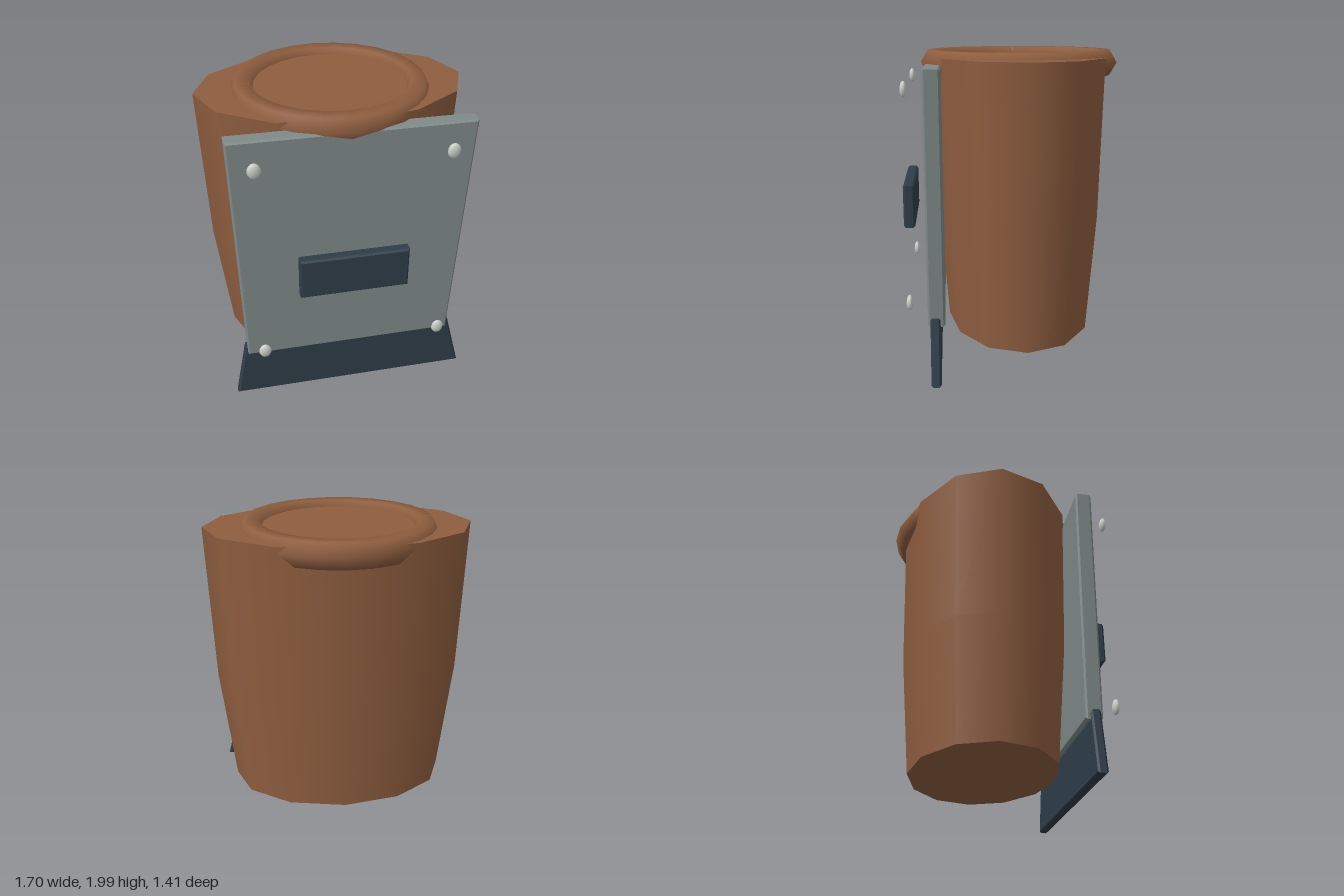
import * as THREE from 'three';

const mat = (name, color) => {
  const m = new THREE.MeshStandardMaterial({ color });
  m.name = name;
  return m;
};

export function createModel() {
  const model = new THREE.Group();
  const brown = mat('brown', 0x8f5e3f);
  const grey = mat('plate grey', 0x7f8a88);
  const navy = mat('dark slate', 0x2e3d49);
  const pale = mat('pale metal', 0xcbd1c9);

  const add = (name, geometry, material, x = 0, y = 0, z = 0, parent = model) => {
    const mesh = new THREE.Mesh(geometry, material);
    mesh.name = name;
    mesh.position.set(x, y, z);
    parent.add(mesh);
    return mesh;
  };

  // Slab with a narrow chamfer, cut from an outline and running from z0 to z1
  const slab = (name, outline, z0, z1, material, bevel = 0.012) => {
    const shape = new THREE.Shape(outline.map(([x, y]) => new THREE.Vector2(x, y)));
    const geometry = new THREE.ExtrudeGeometry(shape, {
      depth: z1 - z0 - 2 * bevel,
      bevelEnabled: true,
      bevelThickness: bevel,
      bevelSize: bevel,
      bevelOffset: -bevel,
      bevelSegments: 1,
    });
    return add(name, geometry, material, 0, 0, z0 + bevel);
  };

  // Tapered oval body, widened at its middle ring
  const bottom = 0.175, top = 1.96, centreZ = -0.06;
  const body = new THREE.CylinderGeometry(0.85, 0.72, top - bottom, 12, 2);
  body.translate(0, (top + bottom) / 2, 0);
  const p = body.attributes.position;
  for (let i = 0; i < p.count; i++) {
    if (Math.abs(p.getY(i) - (top + bottom) / 2) > 0.01) continue;
    const k = 0.81 / Math.hypot(p.getX(i), p.getZ(i));
    p.setXYZ(i, p.getX(i) * k, 0.95, p.getZ(i) * k);
  }
  body.scale(1, 1, 0.671);
  add('body', body, brown, 0, 0, centreZ);

  // Six-sided split ring sunk into the top, its narrow gap on the right
  const ring = new THREE.Group();
  ring.name = 'topRing';
  ring.position.set(0, 1.92, centreZ);
  ring.rotation.y = Math.PI;
  model.add(ring);
  const radius = 0.55, tube = 0.092, gap = 0.007;
  const torus = new THREE.TorusGeometry(radius, tube, 6, 24, Math.PI * 2 - 2 * gap);
  torus.rotateZ(gap).rotateX(-Math.PI / 2);
  add('ringTube', torus, brown, 0, 0, 0, ring);
  for (const side of [1, -1]) {
    const cap = new THREE.CircleGeometry(tube, 6);
    if (side < 0) cap.rotateX(Math.PI);
    cap.translate(radius, 0, 0).rotateY(-side * gap);
    add('ringEnd', cap, brown, 0, 0, 0, ring);
  }

  // Front plate and the flared skirt below it
  slab('frontPlate', [[-0.677, 0.35], [0.685, 0.35], [0.762, 1.92], [-0.722, 1.92]], 0.45, 0.555, grey);
  slab('skirt', [[-0.765, 0.005], [0.805, 0.005], [0.7, 0.41], [-0.69, 0.41]], 0.478, 0.54, navy);

  // Panel standing off the plate
  slab('centrePanel', [[-0.34, 0.89], [0.34, 0.89], [0.34, 1.165], [-0.34, 1.165]], 0.632, 0.705, navy);

  // Four flattened studs
  for (const x of [-0.575, 0.575]) {
    for (const y of [0.475, 1.795]) {
      const stud = new THREE.SphereGeometry(1, 10, 8);
      stud.scale(0.04, 0.049, 0.021);
      add('stud', stud, pale, x, y, 0.668);
    }
  }

  return model;
}
